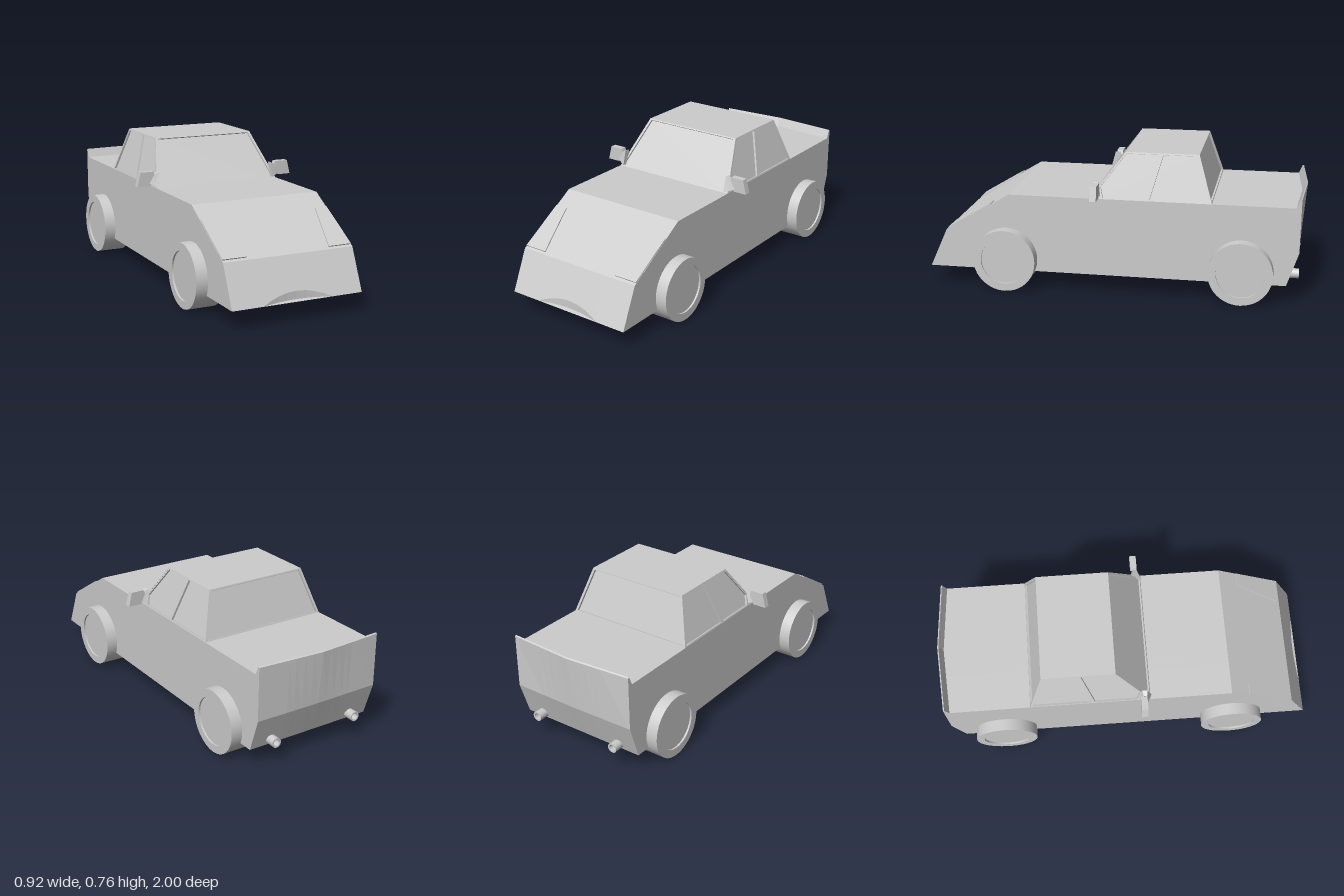
import * as THREE from 'three';
import { ConvexGeometry } from 'three/addons/geometries/ConvexGeometry.js';

const paint = new THREE.MeshStandardMaterial({ color: 0xcccccc });
paint.name = 'plain grey';

const V = (x, y, z) => new THREE.Vector3(x, y, z);

function part(name, geometry, parent) {
  const mesh = new THREE.Mesh(geometry, paint);
  mesh.name = name;
  parent.add(mesh);
  return mesh;
}

// Joins [z, y] profiles placed along x, each running front, top, rear, bottom
function loftAlongX(xs, profileAt) {
  const rings = xs.map((x) => profileAt(x).map(([z, y]) => V(x, y, z)));
  const out = [];
  const tri = (a, b, c) => out.push(...a.toArray(), ...b.toArray(), ...c.toArray());
  const n = rings[0].length;
  for (let s = 0; s + 1 < rings.length; s++) {
    const A = rings[s], B = rings[s + 1];
    for (let i = 0; i < n; i++) {
      const j = (i + 1) % n;
      tri(A[i], B[i], A[j]);
      tri(B[i], B[j], A[j]);
    }
  }
  // End caps
  for (const [ring, dir] of [[rings[0], -1], [rings[rings.length - 1], 1]]) {
    const flat = ring.map((p) => new THREE.Vector2(-p.z, p.y));
    for (const [a, b, c] of THREE.ShapeUtils.triangulateShape(flat, [])) {
      const area = THREE.ShapeUtils.area([flat[a], flat[b], flat[c]]);
      if (area * dir > 0) tri(ring[a], ring[b], ring[c]);
      else tri(ring[a], ring[c], ring[b]);
    }
  }
  const g = new THREE.BufferGeometry();
  g.setAttribute('position', new THREE.Float32BufferAttribute(out, 3));
  g.computeVertexNormals();
  return g;
}

// Plate through coplanar points (counter-clockwise from outside), with holes
function plate(outline, holes, depth, lift = 0) {
  const o = outline[0];
  const u = outline[1].clone().sub(o).normalize();
  const n = u.clone().cross(outline[2].clone().sub(o)).normalize();
  const v = n.clone().cross(u);
  const flat = (pts) => pts.map((p) => {
    const d = p.clone().sub(o);
    return new THREE.Vector2(d.dot(u), d.dot(v));
  });
  const shape = new THREE.Shape(flat(outline));
  for (const h of holes) shape.holes.push(new THREE.Path(flat(h)));
  const g = new THREE.ExtrudeGeometry(shape, { depth, bevelEnabled: false });
  const m = new THREE.Matrix4().makeBasis(u, v, n);
  m.setPosition(o.clone().addScaledVector(n, lift - depth));
  return g.applyMatrix4(m);
}

// Cabin planes
const sideX = (y) => 0.358 - (y - 0.52) * 0.304;
const frontZ = (y) => 0.12 - (y - 0.52) * 0.75;
const rearZ = (y) => -0.52 + (y - 0.52) * 0.3125;

function bodyProfile(x) {
  const a = Math.abs(x);
  const notch = a < 0.19 ? 0.048 * (1 - (a / 0.19) ** 2) : 0;
  const k = notch / 0.048;
  const bulge = 0.025 * (1 - a / 0.358);
  return [
    [1, 0.1], [1 - 0.022 * k, 0.1 + 0.006 * k], [1 - 0.452 * notch, 0.1 + notch],
    [0.905, 0.31], [0.555, 0.52],
    [-0.947 - bulge, 0.52], [-0.968 - bulge, 0.568], [-0.975 - bulge, 0.563],
    [-0.972 - bulge * 0.2, 0.28], [-0.912, 0.1],
  ];
}

function addCabin(car) {
  // Recessed glass block
  const pts = [];
  for (const y of [0.5, 0.754]) for (const s of [-1, 1]) {
    pts.push(V(s * (sideX(y) - 0.012), y, frontZ(y) - 0.012));
    pts.push(V(s * (sideX(y) - 0.012), y, rearZ(y) + 0.012));
  }
  part('cabinGlass', new ConvexGeometry(pts), car);

  const roof = part('roof', new THREE.BoxGeometry(0.57, 0.01, 0.385), car);
  roof.position.set(0, 0.755, -0.2525);

  // Windscreen and rear window frames
  for (const [name, z, s] of [['windscreenFrame', frontZ, 1], ['rearWindowFrame', rearZ, -1]]) {
    const quad = (lo, hi, inset) => [
      V(-s * (sideX(lo) - inset), lo, z(lo)), V(s * (sideX(lo) - inset), lo, z(lo)),
      V(s * (sideX(hi) - inset), hi, z(hi)), V(-s * (sideX(hi) - inset), hi, z(hi)),
    ];
    part(name, plate(quad(0.52, 0.76, 0), [quad(0.526, 0.754, 0.014)], 0.012), car);
  }
}

// Everything that exists once per side, built for +x
function buildSide() {
  const side = new THREE.Group();
  const at = ([z, y]) => V(sideX(y), y, z);

  // Door window frame with two openings
  const outline = [[0.12, 0.52], [-0.52, 0.52], [-0.445, 0.76], [-0.06, 0.76]].map(at);
  const frontWindow = [[0.05, 0.527], [-0.175, 0.527], [-0.24, 0.752], [-0.062, 0.752], [0.065, 0.585]].map(at);
  const rearWindow = [[-0.195, 0.527], [-0.507, 0.527], [-0.438, 0.752], [-0.258, 0.752]].map(at);
  part('sideWindowFrame', plate(outline, [frontWindow, rearWindow], 0.012), side);

  // Wheels with recessed hub discs
  const rim = [[0, 0], [0.168, 0], [0.168, 0], [0.168, 0.148], [0.168, 0.148], [0.126, 0.148],
    [0.126, 0.148], [0.126, 0.138], [0.126, 0.138], [0, 0.138]];
  for (const [name, z] of [['frontWheel', 0.575], ['rearWheel', -0.678]]) {
    const g = new THREE.LatheGeometry(rim.map((p) => new THREE.Vector2(...p)), 40);
    const wheel = part(name, g, side);
    wheel.rotation.z = -Math.PI / 2;
    wheel.position.set(0.272, 0.168, z);
  }

  // Mirror: flared stalk and slanted head
  part('mirrorStalk', loftAlongX([0.335, 0.365, 0.39], (x) => {
    const t = (x - 0.335) / 0.055;
    const w = 0.036 - 0.026 * t, lo = 0.525 + 0.02 * t, hi = 0.605 - 0.025 * t;
    return [[0.09 + w, lo], [0.09 + w * 0.4, hi], [0.09 - w * 0.4, hi], [0.09 - w, lo]];
  }), side);
  const head = [[0.385, 0.532], [0.459, 0.532], [0.44, 0.608], [0.368, 0.608], [0.36, 0.585], [0.372, 0.56]];
  part('mirrorHead', plate(head.map(([x, y]) => V(x, y, 0.1)), [], 0.034), side);

  // Headlight cover on the sloping nose
  const nose = (x, y) => V(x, y, 0.905 - (y - 0.31) * (0.35 / 0.21));
  part('headlightCover', plate(
    [nose(0.228, 0.318), nose(0.356, 0.318), nose(0.356, 0.46), nose(0.288, 0.46)], [], 0.009, 0.006), side);

  // Hollow exhaust pipe
  const tube = [[0.026, 0], [0.026, 0.08], [0.026, 0.08], [0.018, 0.08], [0.018, 0.08], [0.018, 0.03], [0.018, 0.03], [0, 0.03]];
  const pipe = part('exhaustPipe', new THREE.LatheGeometry(tube.map((p) => new THREE.Vector2(...p)), 20), side);
  pipe.rotation.x = -Math.PI / 2;
  pipe.position.set(0.245, 0.133, -0.895);
  return side;
}

export function createModel() {
  const car = new THREE.Group();
  car.name = 'car';

  // Body shell with front air notch and raised tail lip
  const xs = [-0.358, -0.19, -0.15, -0.1, -0.05, 0, 0.05, 0.1, 0.15, 0.19, 0.358];
  part('body', loftAlongX(xs, bodyProfile), car);
  addCabin(car);

  const left = buildSide();
  left.name = 'leftSide';
  const right = buildSide();
  right.name = 'rightSide';
  right.scale.x = -1;
  car.add(left, right);
  return car;
}
